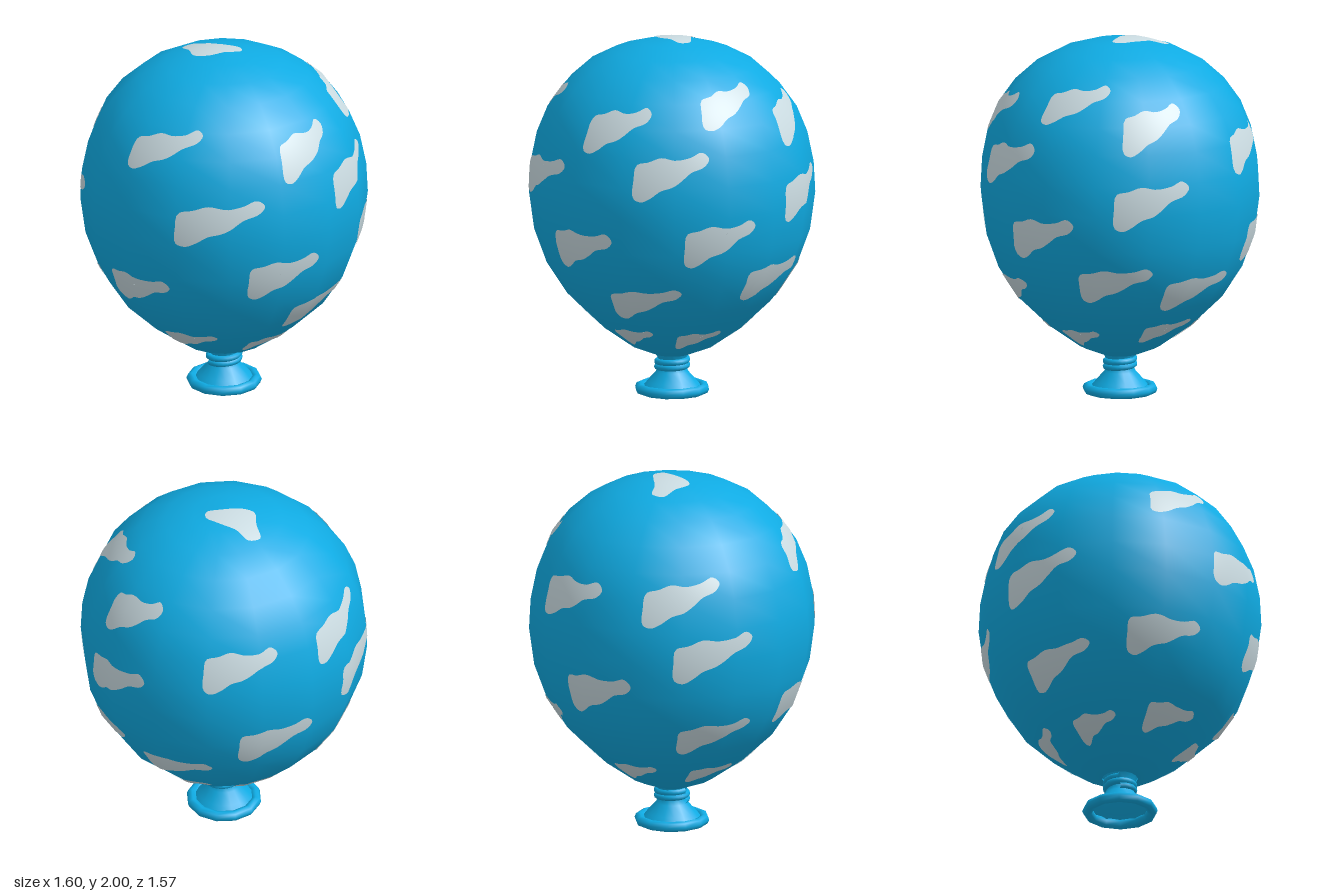
import * as THREE from 'three';

const SEG = 16, STEP = (Math.PI * 2) / SEG, START = THREE.MathUtils.degToRad(-2), DEPTH = 0.98;

// balloon profile: radius, height
const PROFILE = [
  [0.1, 0.225], [0.23, 0.275], [0.41, 0.4], [0.585, 0.565], [0.7, 0.74], [0.77, 0.93], [0.799, 1.14],
  [0.79, 1.31], [0.755, 1.48], [0.695, 1.625], [0.6, 1.755], [0.475, 1.865], [0.33, 1.94], [0.17, 1.985], [0, 2],
];

// cloud outline in a unit box, clockwise
const CLOUD = [
  [-0.5, -0.42], [-0.51, 0], [-0.47, 0.36], [-0.32, 0.4], [-0.15, 0.48], [0.05, 0.4], [0.25, 0.42], [0.4, 0.5],
  [0.5, 0.34], [0.42, 0.16], [0.25, 0.08], [0.12, -0.08], [0, -0.2], [-0.15, -0.27], [-0.28, -0.42], [-0.4, -0.5],
];
// crown patch as x, z seen from above, clockwise
const CROWN = [
  [-0.13, -0.25], [-0.06, -0.255], [-0.02, -0.18], [0.06, -0.09], [0.11, -0.02],
  [0.09, 0.03], [0, 0.015], [-0.1, 0.0], [-0.16, -0.05], [-0.14, -0.15],
];

// azimuth in degrees (0 = front, 90 = +x), height, angular width, vertical size, slope
const SPOTS = [
  [-56, 1.645, 36, 0.22, 0.3], [16, 1.605, 31, 0.25, 0.15], [75, 1.725, 35, 0.2, 0.2], [115, 1.605, 30, 0.25, 0.15],
  [42, 1.375, 32, 0.26, 0.15], [-28, 1.28, 37, 0.25, 0.15], [112, 1.195, 32, 0.26, 0.1], [170, 1.43, 32, 0.24, 0],
  [223, 1.47, 34, 0.25, 0.2], [236, 1.16, 34, 0.26, 0.15], [0, 0.92, 32, 0.24, 0], [63, 0.99, 31, 0.25, 0.1],
  [185, 0.91, 32, 0.25, 0], [96, 0.735, 34, 0.21, 0.05], [139, 0.67, 36, 0.2, 0.05], [-68, 0.79, 34, 0.22, 0],
  [28, 0.625, 37, 0.2, 0.15], [239, 0.67, 36, 0.2, 0.15], [-50, 0.43, 38, 0.14, 0], [10, 0.38, 35, 0.12, 0.05],
  [64, 0.37, 36, 0.12, 0.05], [135, 0.415, 38, 0.13, 0.1], [189, 0.39, 36, 0.13, 0], [250, 0.38, 36, 0.12, 0],
];

// reads one profile column from the other by straight interpolation
function lookup(points, from, to, value) {
  for (let i = 0; i < points.length - 1; i++) {
    const a = points[i], b = points[i + 1];
    const t = (value - a[from]) / (b[from] - a[from]);
    if (t >= 0 && t <= 1) return a[to] + (b[to] - a[to]) * t;
  }
  return points[0][to];
}

// how far the flat sided ring is drawn in at an azimuth
function facet(angle) {
  const rel = (((angle - START) % STEP) + STEP) % STEP;
  return Math.cos(STEP / 2) / Math.cos(rel - STEP / 2);
}

function sidePoint(angle, y) {
  const r = lookup(PROFILE, 1, 0, y) * facet(angle);
  return new THREE.Vector3(r * Math.sin(angle), y, r * Math.cos(angle) * DEPTH);
}

function crownPoint(x, z) {
  const r = Math.hypot(x, z) / facet(Math.atan2(x, z));
  return new THREE.Vector3(x, lookup(PROFILE.slice(7), 0, 1, r), z * DEPTH);
}

// thin patch lying on the balloon: rings from a centre out to a smooth outline
function patchGeometry(outline, centre, place) {
  const curve = new THREE.CatmullRomCurve3(outline.map(([u, v]) => new THREE.Vector3(u, v, 0)), true);
  const N = 56, RINGS = 10, edge = curve.getPoints(N).slice(0, N);
  const pos = [], nor = [], index = [];
  for (let k = 0; k <= RINGS; k++) {
    for (const e of edge) {
      const t = k / RINGS;
      const p = place(centre[0] + (e.x - centre[0]) * t, centre[1] + (e.y - centre[1]) * t);
      const n = new THREE.Vector3(p.x / 0.64, (p.y - 1.15) / 0.75, p.z / 0.62).normalize();
      p.addScaledVector(n, 0.004);
      pos.push(p.x, p.y, p.z);
      nor.push(n.x, n.y, n.z);
    }
  }
  for (let k = 0; k < RINGS; k++) {
    for (let i = 0; i < N; i++) {
      const j = (i + 1) % N, a = k * N + i, b = k * N + j, c = a + N, d = b + N;
      index.push(a, d, c);
      if (k > 0) index.push(a, b, d);
    }
  }
  const g = new THREE.BufferGeometry();
  g.setAttribute('position', new THREE.Float32BufferAttribute(pos, 3));
  g.setAttribute('normal', new THREE.Float32BufferAttribute(nor, 3));
  g.setIndex(index);
  return g;
}

export function createModel() {
  const model = new THREE.Group();
  model.name = 'balloon';
  const blue = new THREE.MeshStandardMaterial({ color: 0x0fabe3, side: THREE.DoubleSide });
  blue.name = 'blue rubber';
  const white = new THREE.MeshStandardMaterial({ color: 0xcbdce2, side: THREE.DoubleSide });
  white.name = 'cloud white';

  const add = (name, geometry, material, parent = model) => {
    const mesh = new THREE.Mesh(geometry, material);
    mesh.name = name;
    parent.add(mesh);
    return mesh;
  };
  const lathe = (points, sides) =>
    new THREE.LatheGeometry(points.map(([r, y]) => new THREE.Vector2(r, y)), sides, START).scale(1, 1, DEPTH);

  // inflated body
  add('body', lathe(PROFILE, SEG), blue);

  // open flared neck with a rolled lip
  add('neck', lathe([[0.165, 0.04], [0.14, 0.07], [0.09, 0.125], [0.075, 0.155], [0.075, 0.19], [0.1, 0.235]], SEG), blue);
  const lip = add('lip', new THREE.TorusGeometry(0.18, 0.029, 8, 12), blue);
  lip.rotation.x = Math.PI / 2;
  lip.position.y = 0.03;

  // string of rubber wound round the neck
  const coil = [];
  for (let i = 0; i <= 24; i++) {
    const a = (i / 24) * Math.PI * 4 - Math.PI / 2;
    coil.push(new THREE.Vector3(Math.sin(a) * 0.086, 0.145 + (i / 24) * 0.06, Math.cos(a) * 0.078));
  }
  add('knot', new THREE.TubeGeometry(new THREE.CatmullRomCurve3(coil), 48, 0.018, 8), blue);

  // painted clouds
  const clouds = new THREE.Group();
  clouds.name = 'clouds';
  model.add(clouds);
  for (const [azimuth, y, width, height, slope] of SPOTS) {
    const place = (u, v) =>
      sidePoint(THREE.MathUtils.degToRad(azimuth + u * width), y + (v * (1 - slope / 2) + u * slope) * height);
    add('cloud', patchGeometry(CLOUD, [-0.2, 0.08], place), white, clouds);
  }
  add('crownCloud', patchGeometry(CROWN, [-0.05, -0.08], crownPoint), white, clouds);
  return model;
}
